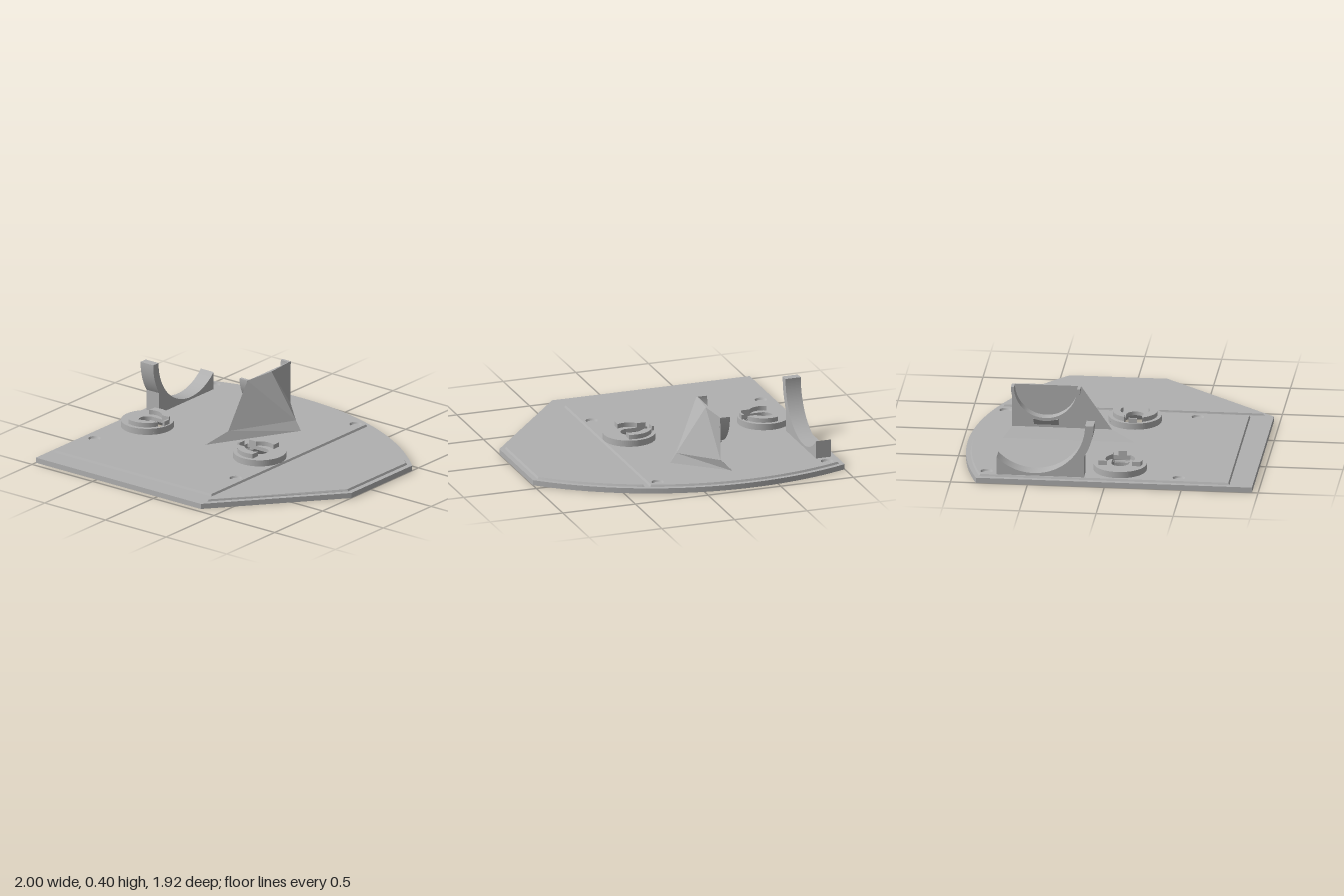
import * as THREE from 'three';

const grey = new THREE.MeshStandardMaterial({ color: 0xb0b0b0, side: THREE.DoubleSide });
grey.name = 'plain grey';

function add(parent, geometry, name) {
  const mesh = new THREE.Mesh(geometry, grey);
  mesh.name = name;
  parent.add(mesh);
  return mesh;
}

// Flat shape drawn in (x, -z), raised from y0 to y1, with an optional chamfer
function slab(shape, y0, y1, bevel = 0) {
  const g = new THREE.ExtrudeGeometry(shape, {
    depth: y1 - y0, curveSegments: 40, bevelEnabled: bevel > 0,
    bevelSize: bevel, bevelThickness: 0.013, bevelSegments: 1,
  });
  return g.rotateX(-Math.PI / 2).translate(0, y0, 0);
}

// Shape drawn in (z, y), spanning x0 to x1
function sideways(shape, x0, x1) {
  const g = new THREE.ExtrudeGeometry(shape, { depth: x1 - x0, curveSegments: 40, bevelEnabled: false });
  return g.rotateY(-Math.PI / 2).translate(x1, 0, 0);
}

function punch(shape, x, z, r) {
  shape.holes.push(new THREE.Path().absarc(x, -z, r, 0, Math.PI * 2, true));
}

// Outline whose back edge is an arc from xRight to xLeft; front lists [x, z] corners
const ARC_X = -0.32, ARC_Z = 0.96;
function arcPlate(front, xLeft, xRight, r) {
  const s = new THREE.Shape();
  front.forEach(([x, z], i) => (i ? s.lineTo(x, -z) : s.moveTo(x, -z)));
  s.absarc(ARC_X, -ARC_Z, r, Math.acos((xRight - ARC_X) / r), Math.acos((xLeft - ARC_X) / r), false);
  s.closePath();
  return s;
}

const SOCKETS = [[-0.775, 0.08], [0.15, 0.08]];

// Round socket with a keyhole slot that opens toward local +x
function socket() {
  const g = new THREE.Group();
  const h = 0.0575;
  const disc = new THREE.Shape().absarc(0, 0, 0.172, 0, Math.PI * 2, false);
  const slot = new THREE.Path();
  slot.moveTo(0.145, -h);
  slot.lineTo(0, -h);
  slot.absarc(0, 0, h, -Math.PI / 2, -Math.PI * 1.5, true);
  slot.lineTo(0.145, h);
  slot.closePath();
  disc.holes.push(slot);
  add(g, slab(disc, 0.065, 0.09), 'socket flange');
  add(g, new THREE.CylinderGeometry(0.172, 0.172, 0.025, 64, 1, true).translate(0, 0.0525, 0), 'flange wall');

  // Tapered recess underneath, open where the slot passes
  const taper = [new THREE.Vector2(0.16, 0), new THREE.Vector2(0.1, 0.066)];
  add(g, new THREE.LatheGeometry(taper, 56, Math.PI / 2 + 0.46, Math.PI * 2 - 0.92), 'recess taper');

  // Pair of raised collar arcs
  const ro = 0.145, ri = 0.095;
  for (const m of [1, -1]) {
    const arc = new THREE.Shape();
    arc.absarc(0, 0, ro, m * Math.asin(h / ro), m * Math.acos(-0.05 / ro), m < 0);
    arc.absarc(0, 0, ri, m * Math.acos(-0.05 / ri), m * Math.asin(h / ri), m > 0);
    arc.closePath();
    add(g, slab(arc, 0.088, 0.12), 'collar arc');
  }
  add(g, new THREE.BoxGeometry(0.015, 0.032, 0.055).translate(0.153, 0.104, 0), 'stop lug');
  return g;
}

// Triangular buttress lofted from three-cornered sections [x, y, z]
function buttress() {
  const rings = [
    [[-0.265, 0.045, -0.74], [0.065, 0.045, -0.46], [-0.265, 0.045, 0.13]],
    [[-0.2, 0.11, -0.685], [0.022, 0.11, -0.46], [-0.2, 0.11, -0.035]],
    [[-0.2, 0.4, -0.685], [-0.18, 0.4, -0.46], [-0.2, 0.4, -0.235]],
  ];
  const v = [];
  const tri = (a, b, c) => v.push(...a, ...b, ...c);
  for (let k = 0; k < 2; k++) {
    for (let i = 0; i < 3; i++) {
      const j = (i + 1) % 3, lo = rings[k], hi = rings[k + 1];
      tri(lo[i], hi[j], lo[j]);
      tri(lo[i], hi[i], hi[j]);
    }
  }
  tri(rings[2][0], rings[2][2], rings[2][1]);
  tri(rings[0][0], rings[0][1], rings[0][2]);
  const g = new THREE.BufferGeometry();
  g.setAttribute('position', new THREE.Float32BufferAttribute(v, 3));
  g.computeVertexNormals();
  return g;
}

export function createModel() {
  const model = new THREE.Group();
  model.name = 'mounting plate';

  // Base plate
  const base = arcPlate([[-1, 0.96], [0.36, 0.96], [1, 0.2]], -1, 1, 1.92);
  SOCKETS.forEach(([x, z]) => punch(base, x, z, 0.16));
  add(model, slab(base, 0, 0.035), 'base plate');

  // Two raised panels with chamfered edges and blind screw holes
  const main = arcPlate([[-0.961, 0.803], [0.323, 0.803]], -0.961, 0.323, 1.883);
  [[-0.9, -0.775], [0.265, -0.775], [0.265, 0.475], [-0.9, 0.475]].forEach(([x, z]) => punch(main, x, z, 0.04));
  SOCKETS.forEach(([x, z]) => punch(main, x, z, 0.167));
  add(model, slab(main, 0.034, 0.035, 0.007), 'main panel');

  const wing = arcPlate([[0.37, 0.89], [0.958, 0.187]], 0.37, 0.958, 1.883);
  [[0.9, -0.395], [0.9, 0.17]].forEach(([x, z]) => punch(wing, x, z, 0.04));
  add(model, slab(wing, 0.034, 0.035, 0.007), 'wing panel');

  // Mirrored sockets
  SOCKETS.forEach(([x, z], i) => {
    const s = socket();
    s.name = 'socket';
    s.position.set(x, 0, z);
    s.rotation.y = i * Math.PI;
    model.add(s);
  });

  // Large saddle with one tall horn at the front
  const zc = -0.465, yc = 0.4;
  const saddle = new THREE.Shape();
  saddle.moveTo(-0.705, 0.04);
  saddle.lineTo(-0.137, 0.04);
  saddle.absarc(zc, yc, 0.39, Math.atan2(-0.21, 0.328), 0, false);
  saddle.absarc(zc, yc, 0.335, 0, Math.atan2(-0.234, -0.24), true);
  saddle.closePath();
  add(model, sideways(saddle, -0.955, -0.85), 'large saddle');

  // Small half-round cradle carried by the buttress
  add(model, buttress(), 'buttress');
  const cradle = new THREE.Shape();
  cradle.absarc(-0.46, yc, 0.225, Math.PI, Math.PI * 2, false);
  cradle.absarc(-0.46, yc, 0.205, 0, -Math.PI, true);
  cradle.closePath();
  add(model, sideways(cradle, -0.265, -0.198), 'small cradle');

  // Wedge under the cradle
  const wedge = new THREE.Shape();
  wedge.moveTo(-0.265, 0.185);
  wedge.lineTo(-0.198, 0.125);
  wedge.lineTo(-0.198, 0.185);
  wedge.closePath();
  const wg = new THREE.ExtrudeGeometry(wedge, { depth: 0.16, bevelEnabled: false });
  add(model, wg.translate(0, 0, -0.54), 'cradle wedge');

  return model;
}
